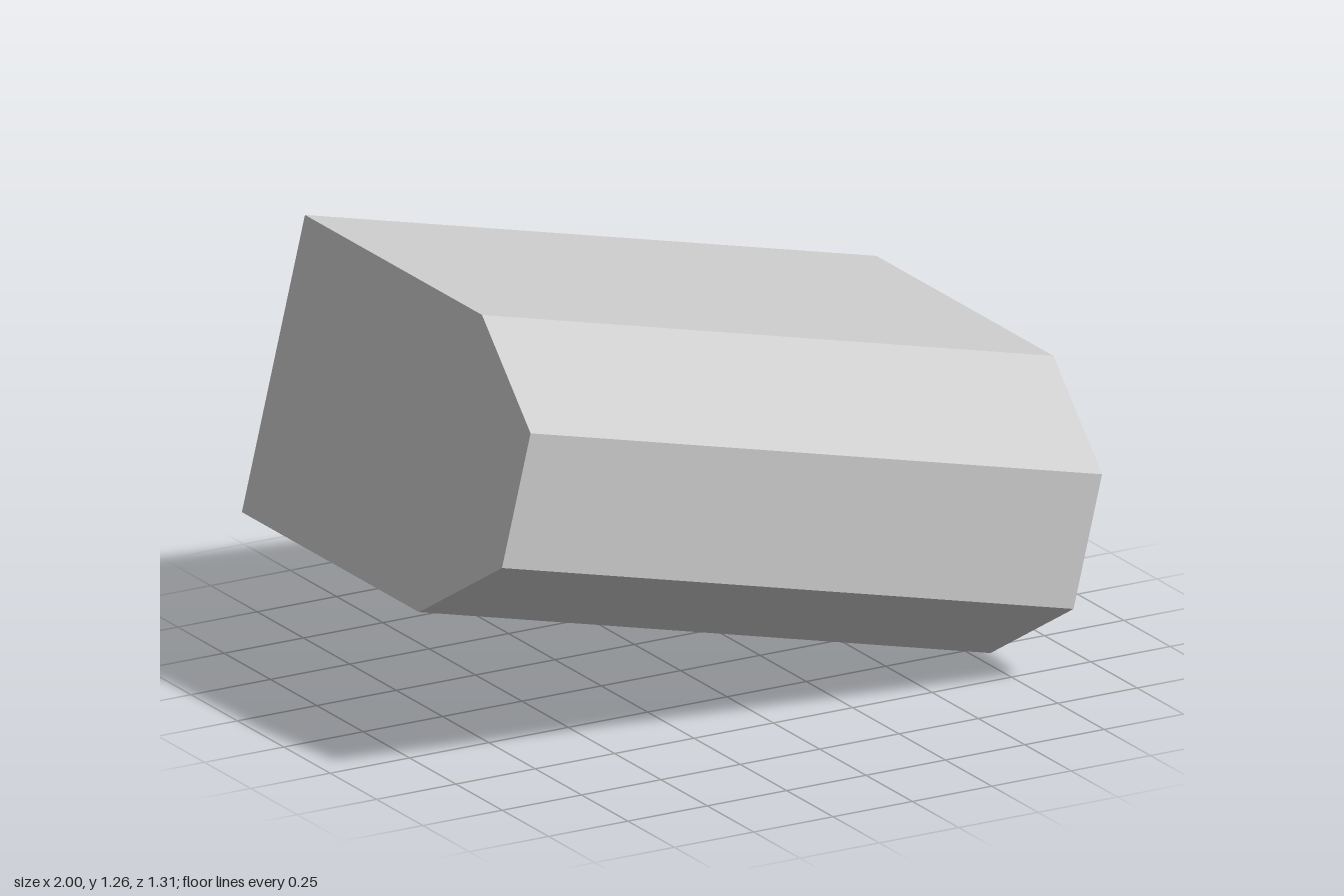
import * as THREE from 'three';

export function createModel() {
  const grey = new THREE.MeshStandardMaterial({ color: 0xcccccc });
  grey.name = 'light grey';

  const length = 1.852, halfHeight = 0.4225, halfDepth = 0.655;
  const chamferStart = 0.3, chamferDrop = 0.231;

  // Side profile with a chamfered front; shape x is -z
  const profile = new THREE.Shape([
    [halfDepth, -halfHeight],
    [halfDepth, halfHeight],
    [-chamferStart, halfHeight],
    [-halfDepth, halfHeight - chamferDrop],
    [-halfDepth, -halfHeight + chamferDrop],
    [-chamferStart, -halfHeight],
  ].map(([x, y]) => new THREE.Vector2(x, y)));

  // Extrude sideways along x, centred
  const geometry = new THREE.ExtrudeGeometry(profile, { depth: length, bevelEnabled: false });
  geometry.translate(0, 0, -length / 2);
  geometry.rotateY(Math.PI / 2);

  // Tilted block resting on its lower edge
  const block = new THREE.Mesh(geometry, grey);
  block.name = 'chamferedBlock';
  const tilt = Math.atan2(0.435, 1.8);
  block.rotation.z = -tilt;
  block.position.y = (length / 2) * Math.sin(tilt) + halfHeight * Math.cos(tilt);

  const model = new THREE.Group();
  model.name = 'tiltedBlock';
  model.add(block);
  return model;
}
